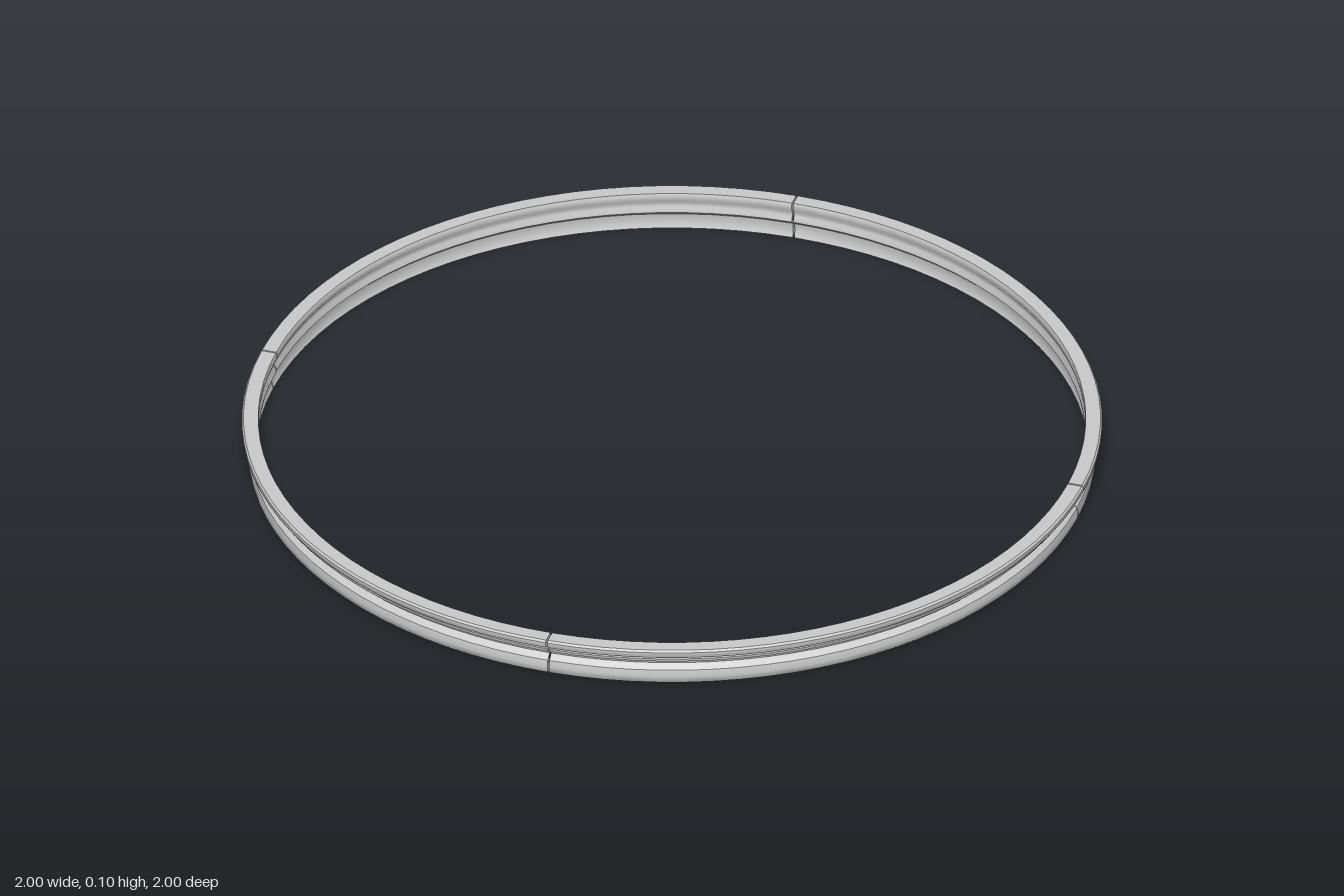
import * as THREE from 'three';
import { toCreasedNormals } from 'three/addons/utils/BufferGeometryUtils.js';

// Closed section of the rolled rim as (radius, height), counterclockwise
const SECTION = [
  // outer side: lower bead, groove, middle bead, groove, top lip
  [0.980, 0], [0.985, 0.006], [0.987, 0.02], [0.984, 0.036], [0.970, 0.048],
  [0.972, 0.054], [0.983, 0.06], [0.985, 0.068], [0.980, 0.075],
  [0.996, 0.078], [1.0, 0.084], [1.0, 0.094], [0.996, 0.099],
  // flat top and inner side
  [0.962, 0.099], [0.960, 0.094], [0.961, 0.08], [0.966, 0.072],
  [0.966, 0.062], [0.961, 0.053], [0.961, 0.047], [0.970, 0.038],
  [0.973, 0.02], [0.970, 0.006], [0.968, 0],
].map(([r, y]) => new THREE.Vector2(r, y));

const GAP = 0.004; // angle of the open seam between two sections

export function createModel() {
  const group = new THREE.Group();
  group.name = 'ring';
  const material = new THREE.MeshStandardMaterial({ color: 0xcccccc, side: THREE.DoubleSide });

  // One quarter of the rim and the cap that closes each of its ends
  const length = Math.PI / 2 - GAP;
  const arc = toCreasedNormals(
    new THREE.LatheGeometry([...SECTION, SECTION[0].clone()], 24, GAP / 2, length), 0.6);
  const cap = new THREE.ShapeGeometry(new THREE.Shape(SECTION));

  for (let i = 0; i < 4; i++) {
    const quarter = new THREE.Group();
    quarter.name = 'rimQuarter' + (i + 1);
    const rim = new THREE.Mesh(arc, material);
    rim.name = 'rimSection';
    quarter.add(rim);
    for (const angle of [GAP / 2, GAP / 2 + length]) {
      const end = new THREE.Mesh(cap, material);
      end.name = 'seamFace';
      end.rotation.y = angle - Math.PI / 2;
      quarter.add(end);
    }
    quarter.rotation.y = i * Math.PI / 2;
    group.add(quarter);
  }
  return group;
}
